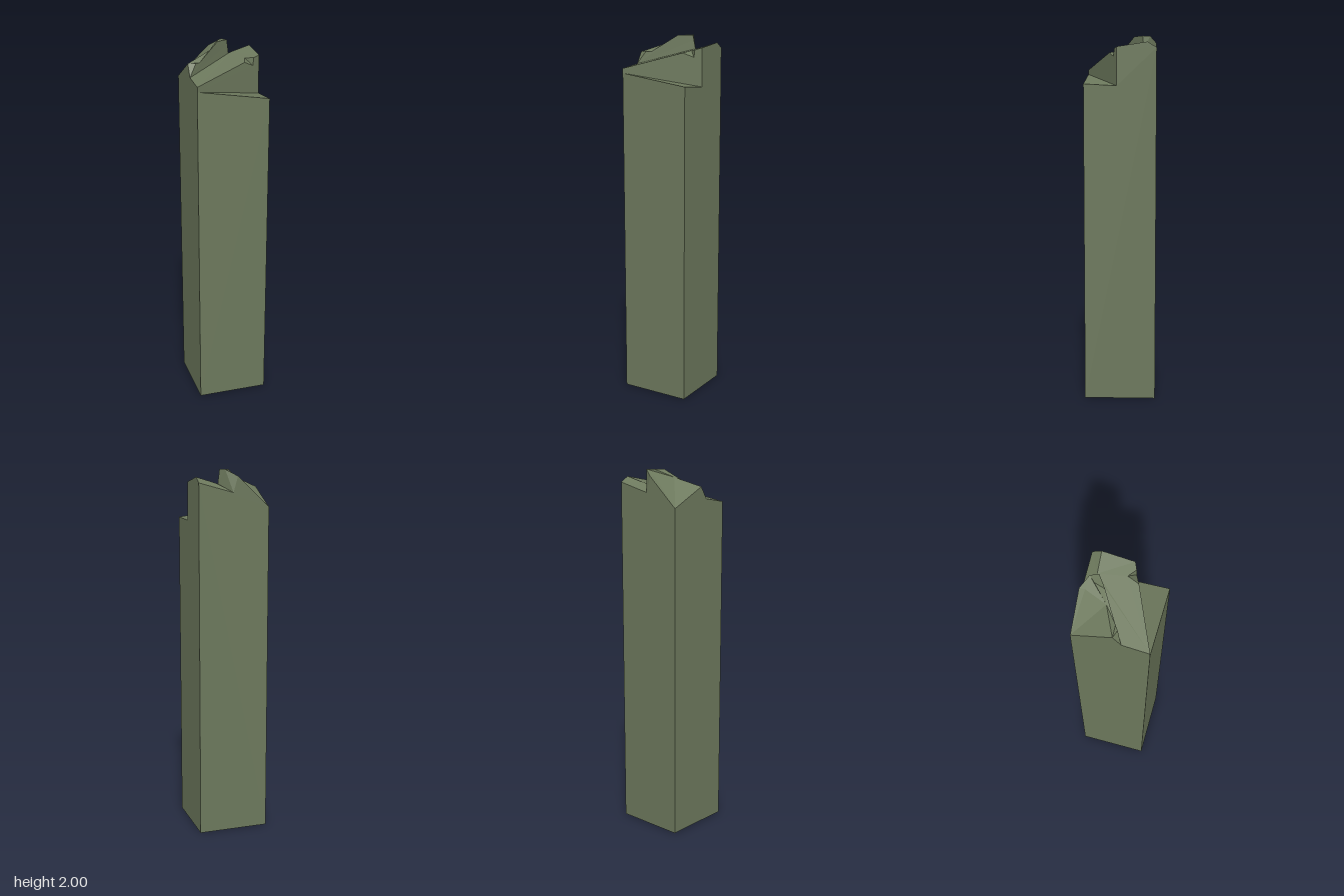
import * as THREE from 'three';

const W = 0.195; // half width of the square pillar

// Flat polygons, triangulated on their dominant plane and turned to face `out`
function buildFaces(name, material, faces) {
  const pos = [];
  for (const [out, pts] of faces) {
    const v = pts.map((p) => new THREE.Vector3(...p));
    const n = new THREE.Vector3();
    v.forEach((a, i) => n.add(new THREE.Vector3().crossVectors(a, v[(i + 1) % v.length])));
    const ax = Math.abs(n.x), ay = Math.abs(n.y), az = Math.abs(n.z);
    const flat = v.map((p) => ax >= ay && ax >= az ? new THREE.Vector2(p.y, p.z)
      : ay >= az ? new THREE.Vector2(p.z, p.x) : new THREE.Vector2(p.x, p.y));
    const dir = new THREE.Vector3(...out);
    for (const [a, b, c] of THREE.ShapeUtils.triangulateShape(flat, [])) {
      const t = new THREE.Triangle(v[a], v[b], v[c]).getNormal(new THREE.Vector3());
      const order = t.dot(dir) < 0 ? [a, c, b] : [a, b, c];
      order.forEach((i) => pos.push(v[i].x, v[i].y, v[i].z));
    }
  }
  const g = new THREE.BufferGeometry();
  g.setAttribute('position', new THREE.Float32BufferAttribute(pos, 3));
  g.computeVertexNormals();
  const mesh = new THREE.Mesh(g, material);
  mesh.name = name;
  return mesh;
}

export function createModel() {
  const stone = new THREE.MeshStandardMaterial({ color: 0x6c785c, side: THREE.DoubleSide });
  stone.name = 'mossy stone';
  const group = new THREE.Group();
  group.name = 'brokenPillar';
  const UP = [0, 1, 0];

  // Low front ledge and the upper edge of the wall behind it
  const ledgeL = [-W, 1.8, W], ledgeF = [W, 1.74, W], ledgeR = [W, 1.73, 0.017];
  const bandL = [-W, 1.825, W], bandR = [W, 1.935, 0.017];
  // Chip in that edge
  const chipL = [0.1, 1.908, 0.06], chipB = [0.12, 1.92, 0], chipR = [0.16, 1.925, 0.033], chipD = [0.155, 1.885, 0.035];
  // Back edge of the sloping band
  const backR = [W, 1.96, -0.147], bendR = [0.09, 1.93, -0.14], footR = [0.07, 1.925, -0.127], footL = [-W, 1.845, 0.055];
  // Crest above the band
  const crestR = [0.058, 2, -0.119], crestM = [0.055, 1.97, -0.117], crestL = [-0.008, 2, -0.073];
  const crestB = [0.04, 2, -0.16], crestI = [0.01, 2, -0.13];
  const dip = [-0.13, 1.91, 0.01], bump = [-0.155, 1.912, 0.027], rimL = [-W, 1.91, 0.013];
  // Back rim and ridge
  const cornerL = [-W, 1.805, -W], cornerR = [W, 1.93, -W], notch = [0.005, 1.88, -W];
  const ridgeA = [-0.02, 1.965, -W], ridgeB = [-0.02, 1.968, -0.165], ridgeC = [-0.063, 1.957, -0.052];

  // Straight sides and base
  const floor = [[-W, 0, W], [W, 0, W], [W, 0, -W], [-W, 0, -W]];
  const [fl, fr, br, bl] = floor;
  group.add(buildFaces('shaft', stone, [
    [[0, -1, 0], floor],
    [[0, 0, 1], [fl, fr, ledgeF, ledgeL]],
    [[1, 0, 0], [fr, br, cornerR, backR, bandR, ledgeR, ledgeF]],
    [[0, 0, -1], [br, bl, cornerL, ridgeA, notch, cornerR]],
    [[-1, 0, 0], [bl, fl, bandL, footL, rimL, cornerL]],
  ]));

  // Front ledge with its wall and chip
  group.add(buildFaces('frontLedge', stone, [
    [UP, [ledgeL, ledgeF, ledgeR]],
    [[0.4, 0, 1], [ledgeL, ledgeR, bandR, chipR, chipD, chipL, bandL]],
    [UP, [chipL, chipB, chipD]],
    [[0, 0, 1], [chipB, chipD, chipR]],
  ]));

  // Sloping band across the middle
  group.add(buildFaces('slopingBand', stone, [
    [UP, [bandL, chipL, chipB, chipR, bandR, backR, bendR, footR, footL]],
  ]));

  // Back right hollow
  group.add(buildFaces('backHollow', stone, [
    [UP, [backR, cornerR, bendR]],
    [UP, [bendR, cornerR, notch]],
    [UP, [bendR, notch, footR]],
  ]));

  // Jagged crest and the long slope down to the back left corner
  group.add(buildFaces('jaggedCrest', stone, [
    [[0.56, 0, 0.83], [footL, footR, crestM, crestR, crestL, dip, bump]],
    [[1, 0, -1], [footR, notch, crestB]],
    [[1, 0, -1], [footR, crestB, crestR]],
    [[1, 0, 0], [footR, crestR, crestM]],
    [[1, 0, -1], [notch, ridgeA, crestB]],
    [UP, [crestL, crestR, crestB, crestI]],
    [UP, [crestL, crestI, ridgeC]],
    [UP, [crestI, crestB, ridgeC]],
    [UP, [ridgeC, crestB, ridgeB]],
    [UP, [ridgeB, crestB, ridgeA]],
    [UP, [cornerL, ridgeA, ridgeB]],
    [UP, [cornerL, ridgeB, ridgeC]],
    [UP, [cornerL, ridgeC, rimL]],
    [UP, [ridgeC, dip, rimL]],
    [UP, [ridgeC, crestL, dip]],
    [UP, [dip, bump, rimL]],
    [UP, [rimL, bump, footL]],
  ]));
  return group;
}
